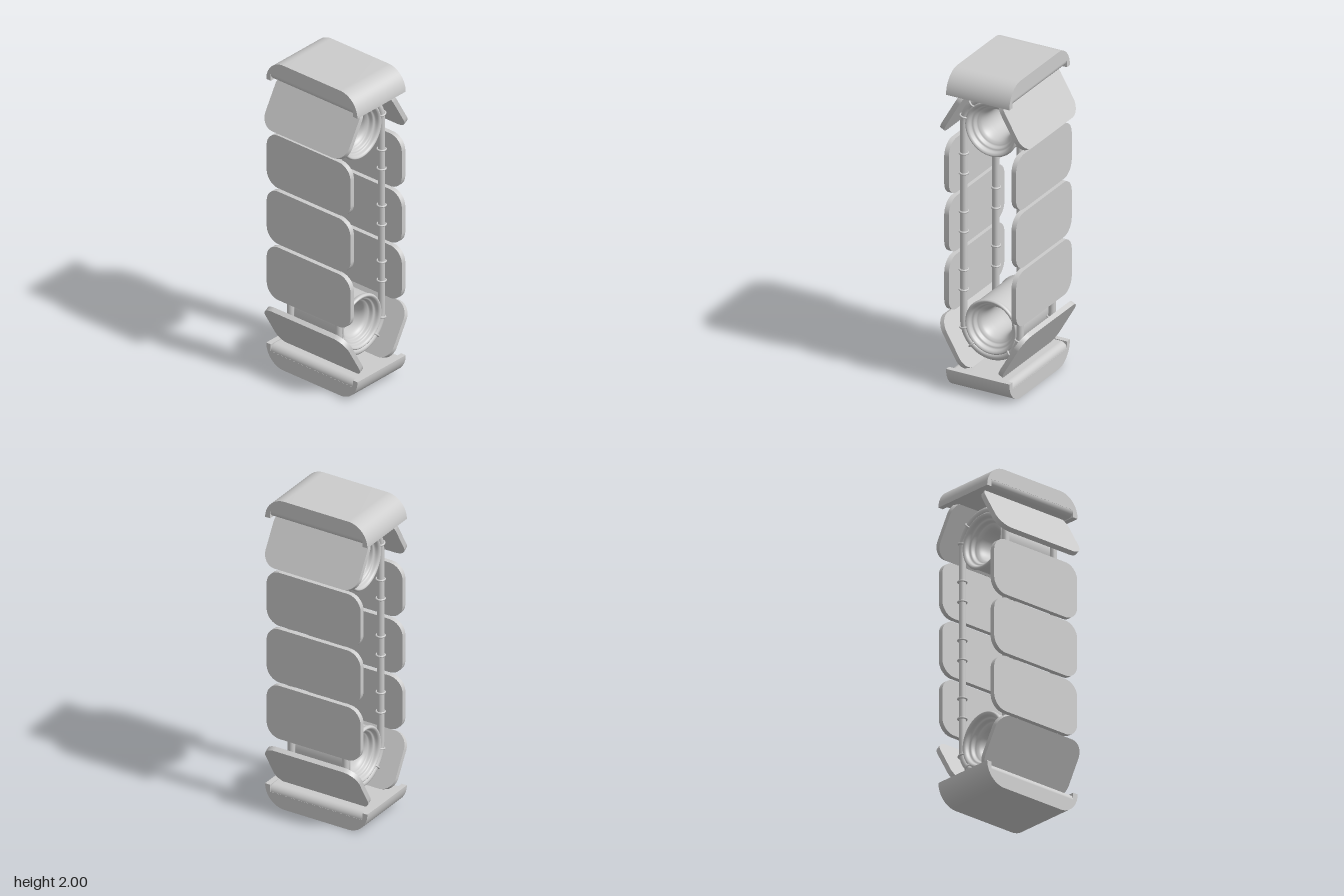
import * as THREE from 'three';

const MID = 1.008;      // height of the belt's middle
const HALF = 0.624;     // wheel distance from the middle
const ROPE_R = 0.185;   // rope bend radius
const ROPE_Z = 0.183;

const mat = new THREE.MeshStandardMaterial({ color: 0xcccccc });

function add(parent, name, geo) {
  const m = new THREE.Mesh(geo, mat);
  m.name = name;
  parent.add(m);
  return m;
}

// Slat plate in the y-z plane, its thickness along x
function slatGeometry() {
  const w = 0.318, h = 0.1725, r = 0.09, s = new THREE.Shape();
  s.moveTo(-w + r, -h);
  s.lineTo(w - r, -h);
  s.absarc(w - r, -h + r, r, -Math.PI / 2, 0);
  s.absarc(w - r, h - r, r, 0, Math.PI / 2);
  s.absarc(-w + r, h - r, r, Math.PI / 2, Math.PI);
  s.absarc(-w + r, -h + r, r, Math.PI, Math.PI * 1.5);
  const g = new THREE.ExtrudeGeometry(s, { depth: 0.03, bevelEnabled: false, curveSegments: 10 });
  return g.rotateY(Math.PI / 2).translate(0.206, 0, 0);
}

// Closed rope path: two straight runs joined by half circles
function ropeGeometry() {
  const path = new THREE.CurvePath();
  const arc = (cy, a0) => {
    const c = new THREE.Curve();
    c.getPoint = (t, out = new THREE.Vector3()) => {
      const a = a0 + t * Math.PI;
      return out.set(ROPE_R * Math.cos(a), cy + ROPE_R * Math.sin(a), 0);
    };
    return c;
  };
  const v = (x, y) => new THREE.Vector3(x, y, 0);
  path.add(arc(HALF, 0));
  path.add(new THREE.LineCurve3(v(-ROPE_R, HALF), v(-ROPE_R, -HALF)));
  path.add(arc(-HALF, Math.PI));
  path.add(new THREE.LineCurve3(v(ROPE_R, -HALF), v(ROPE_R, HALF)));
  return new THREE.TubeGeometry(path, 160, 0.021, 12, true);
}

// Hollow wheel with a stepped, dished face on both ends
function wheelGeometry() {
  const face = new THREE.CatmullRomCurve3([
    [0.165, 0.165], [0.172, 0.188], [0.163, 0.2], [0.15, 0.193], [0.142, 0.172], [0.13, 0.165],
    [0.122, 0.145], [0.112, 0.138], [0.1, 0.125], [0.09, 0.095], [0.085, 0.05],
  ].map(([r, y]) => new THREE.Vector3(r, y, 0)));
  const half = face.getPoints(40).map(p => new THREE.Vector2(p.x, p.y));
  const low = half.map(p => new THREE.Vector2(p.x, -p.y)).reverse();
  const pts = [...low, ...half, low[0].clone()];
  return new THREE.LatheGeometry(pts, 48).rotateX(Math.PI / 2);
}

// End cap: curved shell with lips at its ends and a round-edged filling
function makeCap(name) {
  const cap = new THREE.Group();
  cap.name = name;
  const s = new THREE.Shape();
  s.moveTo(-0.346, 0.865);
  s.lineTo(-0.312, 0.865);
  s.lineTo(-0.312, 0.91);
  s.lineTo(0.312, 0.91);
  s.lineTo(0.312, 0.865);
  s.lineTo(0.346, 0.865);
  s.absellipse(0.215, 0.865, 0.131, 0.135, 0, Math.PI / 2, false, 0);
  s.absellipse(-0.215, 0.865, 0.131, 0.135, Math.PI / 2, Math.PI, false, 0);
  const shell = new THREE.ExtrudeGeometry(s, { depth: 0.416, bevelEnabled: false, curveSegments: 16 });
  add(cap, 'capShell', smoothSides(shell.translate(0, 0, -0.208).rotateY(Math.PI / 2)));

  const r = 0.04, f = new THREE.Shape();
  f.moveTo(0.207, 0.912);
  f.lineTo(-0.207, 0.912);
  f.absarc(-0.207 + r, 0.87 + r, r, Math.PI, Math.PI * 1.5);
  f.absarc(0.207 - r, 0.87 + r, r, Math.PI * 1.5, Math.PI * 2);
  const fill = new THREE.ExtrudeGeometry(f, { depth: 0.626, bevelEnabled: false, curveSegments: 10 });
  add(cap, 'capFilling', smoothSides(fill.translate(0, 0, -0.313)));
  return cap;
}

// Average normals of touching faces that meet at a shallow angle
function smoothSides(geo) {
  const p = geo.attributes.position, n = geo.attributes.normal, groups = new Map();
  const key = i => [p.getX(i), p.getY(i), p.getZ(i)].map(c => Math.round(c * 1e4)).join();
  const normals = [];
  for (let i = 0; i < p.count; i++) {
    normals.push(new THREE.Vector3().fromBufferAttribute(n, i));
    if (!groups.has(key(i))) groups.set(key(i), []);
    groups.get(key(i)).push(i);
  }
  for (const ids of groups.values()) {
    for (const i of ids) {
      const sum = new THREE.Vector3();
      for (const j of ids) if (normals[i].dot(normals[j]) > 0.85) sum.add(normals[j]);
      sum.normalize();
      n.setXYZ(i, sum.x, sum.y, sum.z);
    }
  }
  return geo;
}

export function createModel() {
  const model = new THREE.Group();
  model.name = 'slatBelt';

  const belt = new THREE.Group();
  belt.name = 'belt';
  belt.position.y = MID;
  model.add(belt);

  const wheel = wheelGeometry(), rope = ropeGeometry(), slat = smoothSides(slatGeometry());
  const clip = new THREE.TorusGeometry(0.025, 0.006, 8, 20).rotateX(Math.PI / 2);

  // Wheels and ropes
  for (const s of [1, -1]) {
    add(belt, s > 0 ? 'upperWheel' : 'lowerWheel', wheel).position.y = s * HALF;
    add(belt, s > 0 ? 'frontRope' : 'backRope', rope).position.z = s * ROPE_Z;
  }

  // Slats and their rope clips on both sides
  for (const side of [0, Math.PI]) {
    const run = new THREE.Group();
    run.name = side ? 'rightSlats' : 'leftSlats';
    run.rotation.y = side;
    belt.add(run);

    for (const y of [-0.367, 0, 0.367]) {
      add(run, 'slat', slat).position.y = y;
      for (const dy of [-0.063, 0.063])
        for (const z of [-ROPE_Z, ROPE_Z])
          add(run, 'ropeClip', clip).position.set(ROPE_R, y + dy, z);
    }

    // Tilted slats where the belt starts to round the wheels
    for (const s of [1, -1]) {
      const tilted = new THREE.Group();
      tilted.name = 'tiltedSlat';
      tilted.position.y = s * HALF;
      tilted.rotation.z = s * Math.PI / 6;
      run.add(tilted);
      add(tilted, 'slat', slat);
      for (const a of [-0.3, 0.3])
        for (const z of [-ROPE_Z, ROPE_Z]) {
          const c = add(tilted, 'ropeClip', clip);
          c.position.set(ROPE_R * Math.cos(a), ROPE_R * Math.sin(a), z);
          c.rotation.z = a;
        }
    }
  }

  // Caps at the two ends
  const top = makeCap('topCap');
  const bottom = makeCap('bottomCap');
  bottom.rotation.z = Math.PI;
  top.position.y = bottom.position.y = 1;
  model.add(top, bottom);

  return model;
}
